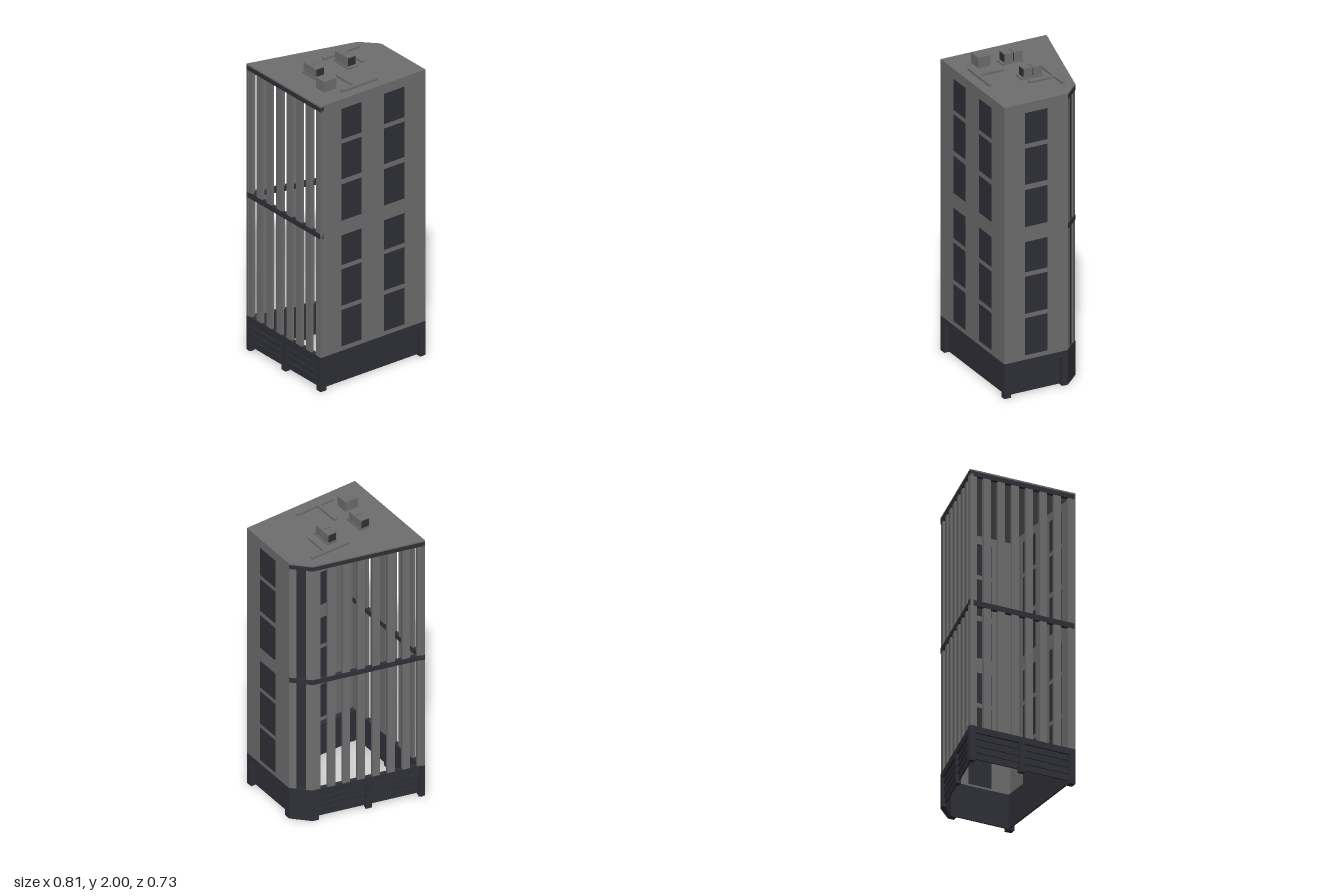
import * as THREE from 'three';

export function createModel() {
  const concrete = new THREE.MeshStandardMaterial({ color: 0x6e6e6e });
  const darkTrim = new THREE.MeshStandardMaterial({ color: 0x2f2f38 });
  concrete.name = 'concrete grey';
  darkTrim.name = 'dark slate';

  const model = new THREE.Group();
  model.name = 'towerBlock';

  // box given by its min and max corners
  function box(parent, name, mat, x0, x1, y0, y1, z0, z1) {
    const mesh = new THREE.Mesh(new THREE.BoxGeometry(x1 - x0, y1 - y0, z1 - z0), mat);
    mesh.position.set((x0 + x1) / 2, (y0 + y1) / 2, (z0 + z1) / 2);
    mesh.name = name;
    parent.add(mesh);
    return mesh;
  }

  // footprint corners as [x, z]
  const corners = [[-0.4, 0.36], [0.4, 0.36], [0.4, -0.075], [0.3, -0.18], [-0.4, -0.365]];
  const baseTop = 0.23, roofY = 1.93;

  // one side of the footprint: local x runs along the wall, local +z faces outwards
  function side(i, name) {
    const a = corners[i], b = corners[(i + 1) % corners.length];
    const dx = b[0] - a[0], dz = b[1] - a[1];
    const group = new THREE.Group();
    group.name = name;
    group.position.set(a[0], 0, a[1]);
    group.rotation.y = Math.atan2(-dz, dx);
    model.add(group);
    return { group, length: Math.hypot(dx, dz) };
  }

  // solid wall with columns of windows over a base with one recessed panel
  const windowRows = [[0.26, 0.505], [0.535, 0.78], [0.81, 1.01], [1.11, 1.355], [1.39, 1.63], [1.66, 1.865]];
  function windowWall(i, name, columns) {
    const { group, length: L } = side(i, name);
    box(group, 'wall', concrete, 0, L, baseTop, roofY, -0.006, 0);
    for (const [x0, x1] of columns)
      for (const [y0, y1] of windowRows)
        box(group, 'window', darkTrim, x0, x1, y0, y1, -0.0075, 0.0015);
    box(group, 'basePost', darkTrim, 0, 0.045, 0, baseTop, -0.04, 0);
    box(group, 'basePost', darkTrim, L - 0.04, L, 0, baseTop, -0.04, 0);
    box(group, 'baseLintel', darkTrim, 0.045, L - 0.04, 0.19, baseTop, -0.04, 0);
    box(group, 'basePanel', darkTrim, 0.045, L - 0.04, 0.005, 0.19, -0.04, -0.03);
  }
  windowWall(0, 'frontWall', [[0.16, 0.31], [0.485, 0.64]]);
  windowWall(1, 'rightWall', [[0.14, 0.295]]);

  // open screen of upright slats, tied by dark bands, over a panelled base
  function slatScreen(i, name) {
    const { group, length: L } = side(i, name);
    const count = 8, w = 0.05;
    for (let k = 0; k < count; k++) {
      const x = (L - w) * k / (count - 1);
      box(group, 'slat', concrete, x, x + w, baseTop, 1.9, -0.022, -0.002);
    }
    box(group, 'middleBand', darkTrim, 0, L, 1.03, 1.065, -0.024, 0);
    box(group, 'topBand', darkTrim, 0, L, 1.89, 1.92, -0.024, 0);
    box(group, 'baseBeam', darkTrim, 0, L, 0.19, baseTop, -0.03, 0);
    for (const x of [0, L / 2 - 0.02, L - 0.04])
      box(group, 'basePost', darkTrim, x, x + 0.04, 0, 0.19, -0.03, 0);
    for (const [x0, x1] of [[0.04, L / 2 - 0.02], [L / 2 + 0.02, L - 0.04]]) {
      box(group, 'basePanel', darkTrim, x0, x1, 0.02, 0.19, -0.025, -0.015);
      for (const y of [0.06, 0.105, 0.15])
        box(group, 'panelRib', darkTrim, x0, x1, y, y + 0.012, -0.015, -0.007);
    }
  }
  slatScreen(3, 'backScreen');
  slatScreen(4, 'leftScreen');

  // chamfered corner: dark wall with grey uprights
  const chamfer = side(2, 'chamferCorner');
  const C = chamfer.length;
  box(chamfer.group, 'chamferBacking', darkTrim, 0, C, baseTop, 1.92, -0.02, -0.012);
  box(chamfer.group, 'slat', concrete, 0, 0.045, baseTop, 1.89, -0.012, -0.002);
  box(chamfer.group, 'slat', concrete, C - 0.04, C, baseTop, 1.89, -0.012, -0.002);
  box(chamfer.group, 'middleBand', darkTrim, 0, C, 1.03, 1.065, -0.012, 0);
  box(chamfer.group, 'topBand', darkTrim, 0, C, 1.89, 1.92, -0.012, 0);
  box(chamfer.group, 'baseWall', darkTrim, 0, C, 0, baseTop, -0.03, 0);

  // roof slab
  const outline = new THREE.Shape(corners.map(([x, z]) => new THREE.Vector2(x, -z)));
  const roof = new THREE.Mesh(
    new THREE.ExtrudeGeometry(outline, { depth: 0.01, bevelEnabled: false }), concrete);
  roof.rotation.x = -Math.PI / 2;
  roof.position.y = roofY - 0.01;
  roof.name = 'roof';
  model.add(roof);

  // T-shaped roof ducts
  const ductTop = 1.945;
  box(model, 'ductBar', concrete, -0.008, 0.265, roofY, ductTop, -0.127, -0.107);
  box(model, 'ductStem', concrete, 0.147, 0.167, roofY, ductTop, -0.107, 0.06);
  box(model, 'ductBar', concrete, -0.183, 0.088, roofY, ductTop, 0.275, 0.295);
  box(model, 'ductStem', concrete, -0.085, -0.065, roofY, ductTop, 0.108, 0.275);

  // roof hut and the two twin vent units with dark grilles at the ends
  box(model, 'roofHut', concrete, -0.267, -0.175, roofY, 2, 0.142, 0.225);
  for (const x of [-0.21, 0.032]) {
    const unit = new THREE.Group();
    unit.name = 'ventUnit';
    unit.position.x = x;
    model.add(unit);
    box(unit, 'ventPlinth', concrete, 0, 0.073, roofY, 1.942, -0.065, 0.08);
    for (const [z0, z1] of [[-0.06, -0.002], [0.005, 0.063]])
      box(unit, 'ventBox', concrete, 0.006, 0.068, 1.942, 2, z0, z1);
    box(unit, 'ventGap', darkTrim, 0.01, 0.064, 1.942, 1.992, -0.002, 0.005);
    box(unit, 'ventGrille', darkTrim, 0.01, 0.064, 1.945, 1.996, 0.063, 0.066);
    box(unit, 'ventGrille', darkTrim, 0.01, 0.064, 1.945, 1.996, -0.063, -0.06);
  }
  return model;
}
